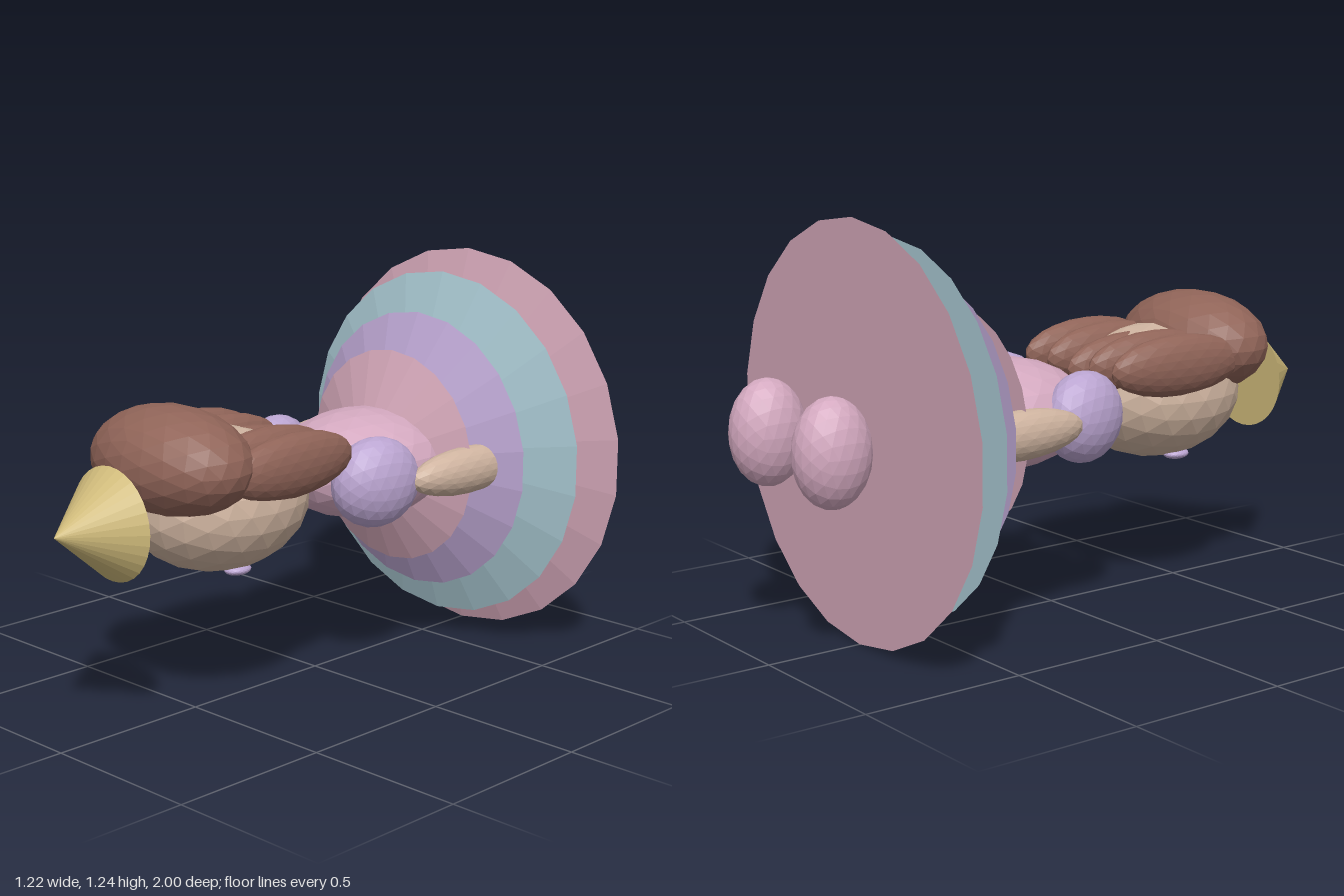
import * as THREE from 'three';

export function createModel() {
  const model = new THREE.Group();
  model.name = 'lyingDoll';
  const mat = (name, color) => {
    const m = new THREE.MeshStandardMaterial({ color, flatShading: true });
    m.name = name;
    return m;
  };
  const pink = mat('pink', 0xd4a9c0);
  const rose = mat('rose', 0xd2a6b7);
  const blue = mat('paleBlue', 0xa8c7d1);
  const lavender = mat('lavender', 0xbba5d1);
  const skin = mat('skin', 0xcfb4a0);
  const brown = mat('hairBrown', 0x906458);
  const gold = mat('gold', 0xd0bb7b);

  const axisY = 0.618; // height of the body's long axis

  // Faceted ellipsoid with a centre, radii and optional turn about y
  const ball = new THREE.IcosahedronGeometry(1, 3);
  const blob = (name, material, pos, radii, turn = 0) => {
    const m = new THREE.Mesh(ball, material);
    m.name = name;
    m.position.set(...pos);
    m.scale.set(...radii);
    m.rotation.y = turn;
    model.add(m);
  };

  // Solid cone along z with its tip towards the front
  const cone = (name, material, baseZ, radius, height, sides) => {
    const g = new THREE.ConeGeometry(radius, height, sides);
    g.rotateX(Math.PI / 2);
    const m = new THREE.Mesh(g, material);
    m.name = name;
    m.position.set(0, axisY, baseZ + height / 2);
    model.add(m);
  };

  // Pointed hat
  cone('hat', gold, 0.8, 0.165, 0.2, 32);

  // Head and hair cap
  blob('head', skin, [0, 0.62, 0.405], [0.25, 0.21, 0.29]);
  blob('hairCap', brown, [0, 0.76, 0.575], [0.28, 0.16, 0.19]);

  // Hair strands: the middle one sits lower
  [-2, -1, 0, 1, 2].forEach((i) => {
    const y = i === 0 ? 0.72 : 0.737;
    blob('hairStrand', brown, [i * 0.109, y, 0.315], [0.06, 0.095, 0.25], Math.sign(i) * 0.03);
  });

  // Torso
  blob('torso', pink, [0, 0.62, -0.21], [0.25, 0.168, 0.3]);

  // Skirt tiers
  cone('skirtTier1', rose, -0.34, 0.335, 0.15, 22);
  cone('skirtTier2', lavender, -0.46, 0.44, 0.207, 22);
  cone('skirtTier3', blue, -0.575, 0.556, 0.182, 22);
  cone('skirtTier4', rose, -0.7, 0.618, 0.195, 22);

  // Paired parts
  for (const s of [-1, 1]) {
    blob('eye', lavender, [s * 0.1, 0.428, 0.418], [0.034, 0.017, 0.044]);
    blob('puffSleeve', lavender, [s * 0.21, 0.622, -0.043], [0.095, 0.138, 0.147], -s * 0.22);
    blob('arm', skin, [s * 0.305, 0.622, -0.345], [0.06, 0.073, 0.23], -s * 0.05);
    blob('foot', pink, [s * 0.172, 0.622, -0.884], [0.099, 0.158, 0.116]);
  }
  return model;
}
